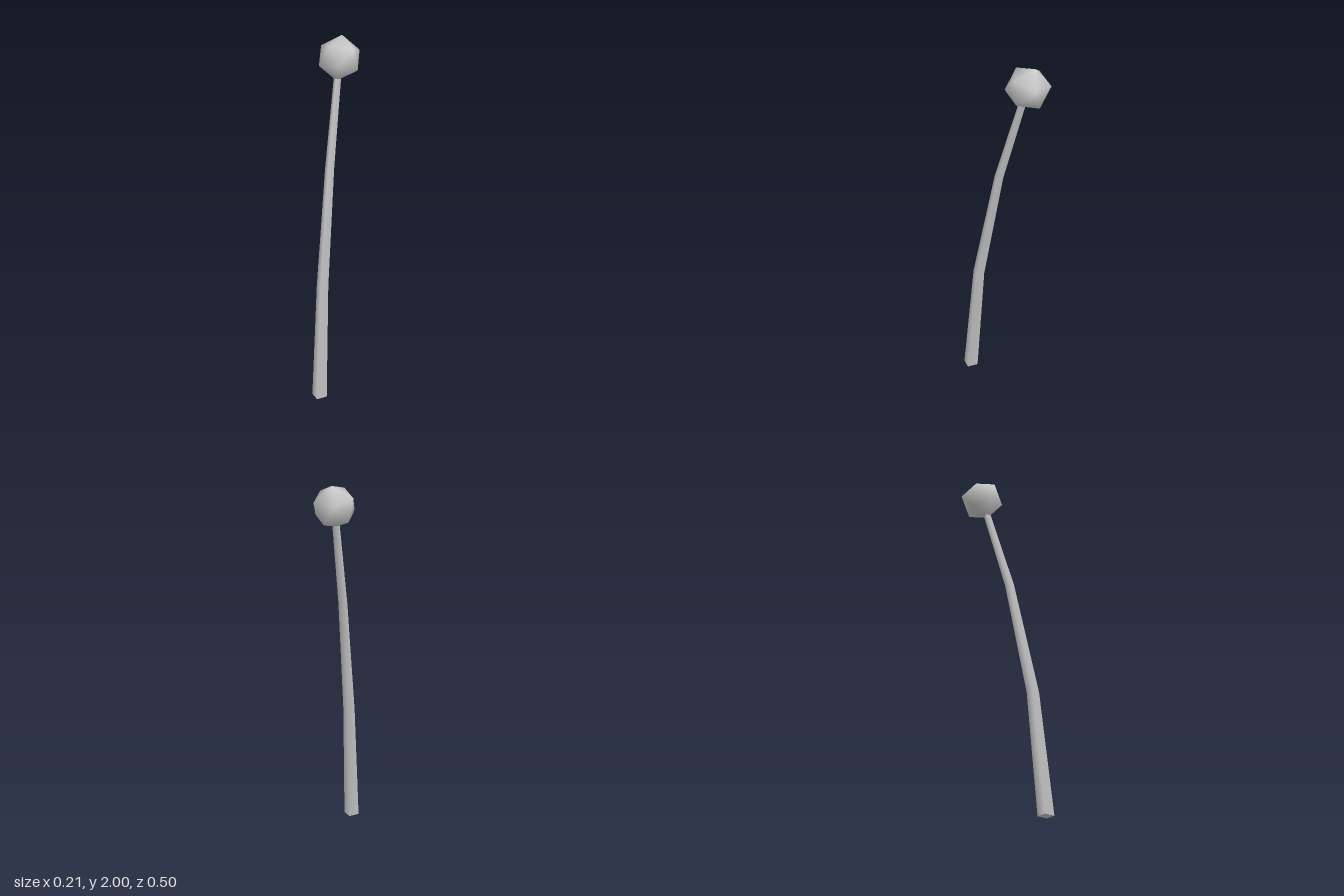
import * as THREE from 'three';

const material = new THREE.MeshStandardMaterial({ color: 0xcccccc });

// Rings of the bent stalk: height, z offset, radius
const RINGS = [
  [0, 0.207, 0.043],
  [0.68, 0.147, 0.033],
  [1.33, 0.023, 0.025],
  [1.88, -0.131, 0.019],
];

// Four-sided tapering stalk that leans backwards
function createStalk() {
  const last = RINGS.length - 1;
  const geometry = new THREE.CylinderGeometry(1, 1, last, 4, last);
  const position = geometry.attributes.position;
  const normal = geometry.attributes.normal;
  for (let i = 0; i < position.count; i++) {
    const ring = Math.round(position.getY(i) + last / 2);
    const [y, z, radius] = RINGS[ring];
    position.setXYZ(i, position.getX(i) * radius, y, position.getZ(i) * radius + z);

    // Lean the side normals with the bend; the end caps stay as they are
    if (Math.abs(normal.getY(i)) < 0.5) {
      const below = RINGS[Math.max(ring - 1, 0)];
      const above = RINGS[Math.min(ring + 1, last)];
      const slope = (above[1] - below[1]) / (above[0] - below[0]);
      const n = new THREE.Vector3(normal.getX(i), -normal.getZ(i) * slope, normal.getZ(i)).normalize();
      normal.setXYZ(i, n.x, n.y, n.z);
    }
  }
  const mesh = new THREE.Mesh(geometry, material);
  mesh.name = 'stalk';
  return mesh;
}

// Smooth-shaded icosahedron, turned so that one edge runs from a to b
function createBall() {
  const geometry = new THREE.IcosahedronGeometry(0.119, 0);
  geometry.computeVertexNormals();
  const position = geometry.attributes.position;
  for (let i = 0; i < position.count; i++) {
    const n = new THREE.Vector3().fromBufferAttribute(position, i).normalize();
    geometry.attributes.normal.setXYZ(i, n.x, n.y, n.z);
  }
  const a = new THREE.Vector3(-0.275, 0.15, -0.95).normalize();
  const b = new THREE.Vector3(0.725, 0.24, -0.64).normalize();
  const xAxis = b.clone().sub(a).normalize();
  const yAxis = b.clone().add(a).normalize();
  const zAxis = xAxis.clone().cross(yAxis);

  const mesh = new THREE.Mesh(geometry, material);
  mesh.quaternion.setFromRotationMatrix(new THREE.Matrix4().makeBasis(xAxis, yAxis, zAxis));
  mesh.position.set(0, 1.889, -0.137);
  mesh.name = 'ball';
  return mesh;
}

export function createModel() {
  const model = new THREE.Group();
  model.name = 'ballOnStalk';
  model.add(createStalk(), createBall());
  return model;
}
